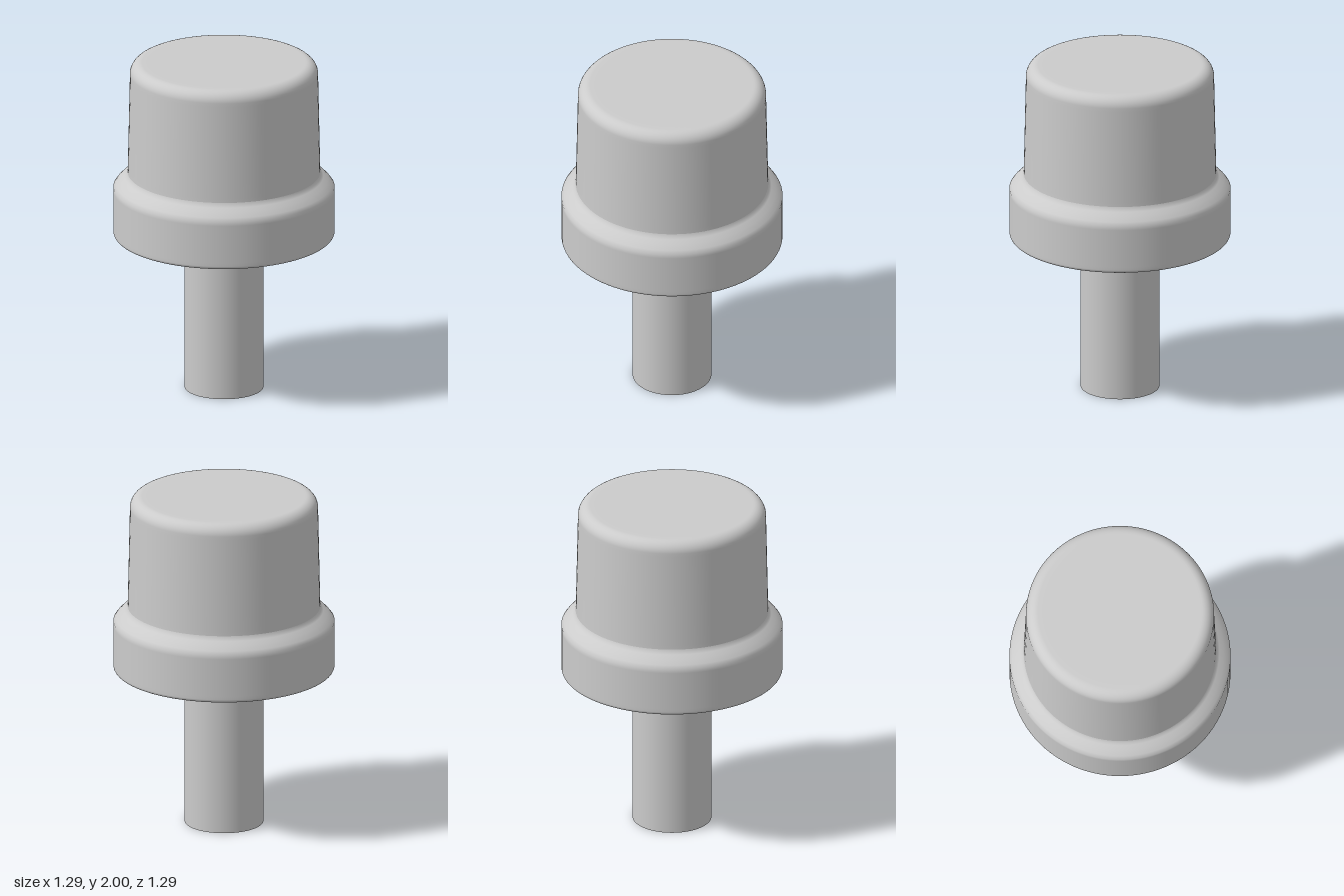
import * as THREE from 'three';

const material = new THREE.MeshStandardMaterial({ color: 0xcccccc, side: THREE.DoubleSide });
const SEGMENTS = 96;

// Points along a quarter round, from angle a0 to a1 in degrees
function arc(cx, cy, r, a0, a1, steps) {
  return Array.from({ length: steps + 1 }, (_, i) => {
    const a = THREE.MathUtils.degToRad(a0 + ((a1 - a0) * i) / steps);
    return new THREE.Vector2(cx + r * Math.cos(a), cy + r * Math.sin(a));
  });
}

function lathe(name, points) {
  const mesh = new THREE.Mesh(new THREE.LatheGeometry(points, SEGMENTS), material);
  mesh.name = name;
  return mesh;
}

export function createModel() {
  const group = new THREE.Group();
  group.name = 'plungerButton';
  const p = (x, y) => new THREE.Vector2(x, y);

  // Wide collar: flat underside, rounded lower edge, sloping shoulder
  group.add(lathe('collar', [
    p(0, 0.94), p(0.6, 0.94),
    ...arc(0.625, 0.96, 0.02, -90, 0, 5),
    p(0.645, 0.98), p(0.645, 1.21), p(0.645, 1.235),
    p(0.63, 1.255), p(0.605, 1.28), p(0.58, 1.3), p(0.568, 1.31), p(0.562, 1.325),
  ]));

  // Slightly tapered cap with a rounded top edge
  group.add(lathe('cap', [
    p(0.562, 1.325), p(0.561, 1.35), p(0.549, 1.91),
    ...arc(0.479, 1.93, 0.07, 2, 90, 8),
    p(0.45, 2), p(0, 2),
  ]));

  // Hollow stem, open at the bottom
  const stem = new THREE.Mesh(
    new THREE.CylinderGeometry(0.23, 0.23, 0.94, SEGMENTS, 1, true), material);
  stem.name = 'stem';
  stem.position.y = 0.47;
  group.add(stem);

  return group;
}
